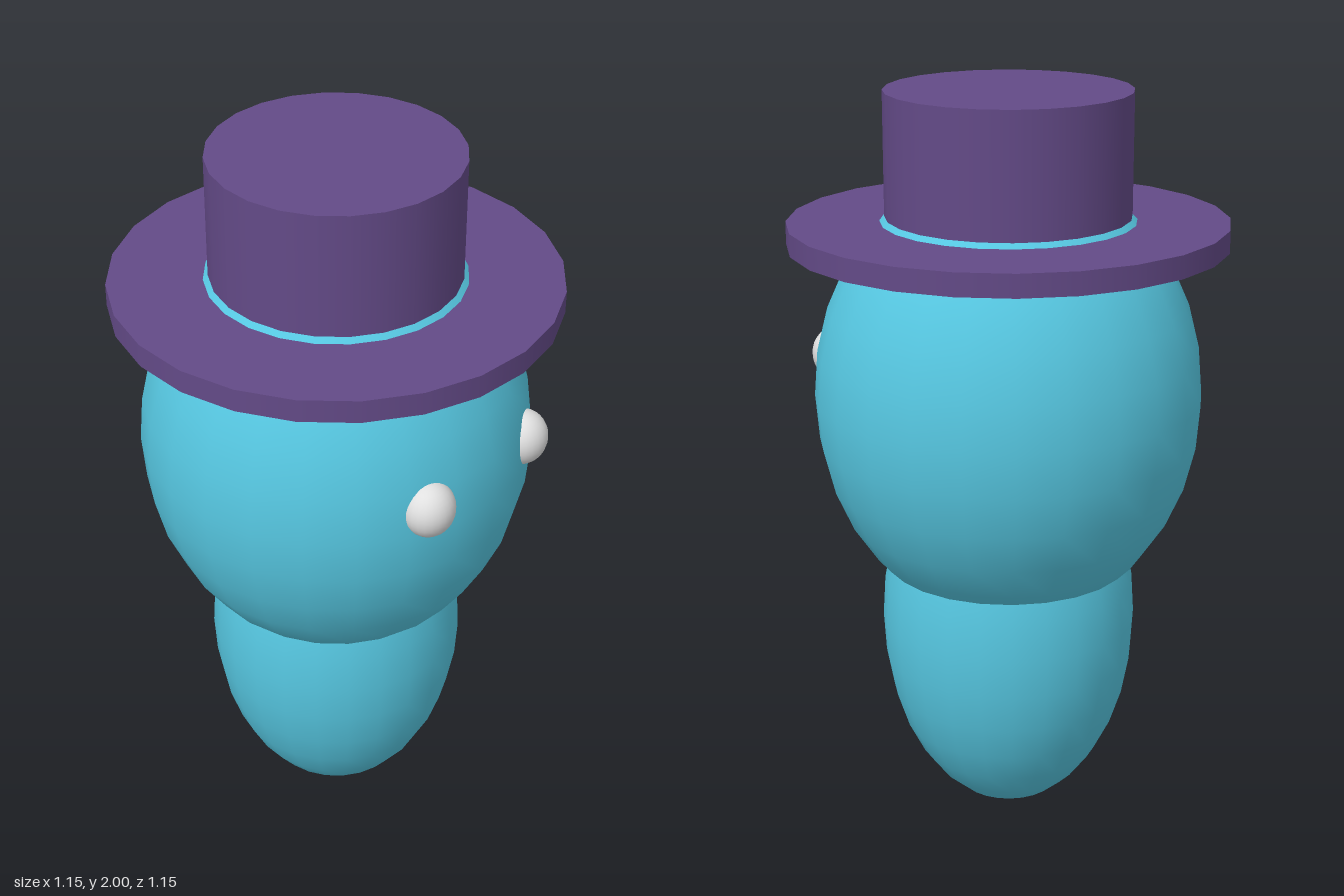
import * as THREE from 'three';

export function createModel() {
  const model = new THREE.Group();

  const material = (name, color) => {
    const m = new THREE.MeshStandardMaterial({ color });
    m.name = name;
    return m;
  };
  const skin = material('sky blue', 0x56c7e1);
  const felt = material('purple felt', 0x634a87);
  const white = material('eye white', 0xe0e0e0);

  const add = (name, geometry, mat, x, y, z) => {
    const mesh = new THREE.Mesh(geometry, mat);
    mesh.name = name;
    mesh.position.set(x, y, z);
    model.add(mesh);
    return mesh;
  };
  const ellipsoid = (rx, ry, rz) => new THREE.SphereGeometry(1, 24, 16).scale(rx, ry, rz);

  // Tapered body and large egg-shaped head
  add('body', ellipsoid(0.345, 0.555, 0.345), skin, 0, 0.56, 0);
  add('head', ellipsoid(0.515, 0.622, 0.515), skin, 0, 1.193, 0);

  // Eyes set into the front of the head
  for (const side of [1, -1]) {
    add(side > 0 ? 'leftEye' : 'rightEye', ellipsoid(0.07, 0.074, 0.066), white, side * 0.198, 1.256, 0.455);
  }

  // Top hat: wide flat brim and straight crown
  add('hatBrim', new THREE.CylinderGeometry(0.577, 0.577, 0.06, 24), felt, 0, 1.632, 0);
  add('hatCrown', new THREE.CylinderGeometry(0.322, 0.322, 0.4, 24), felt, 0, 1.8, 0);

  return model;
}
